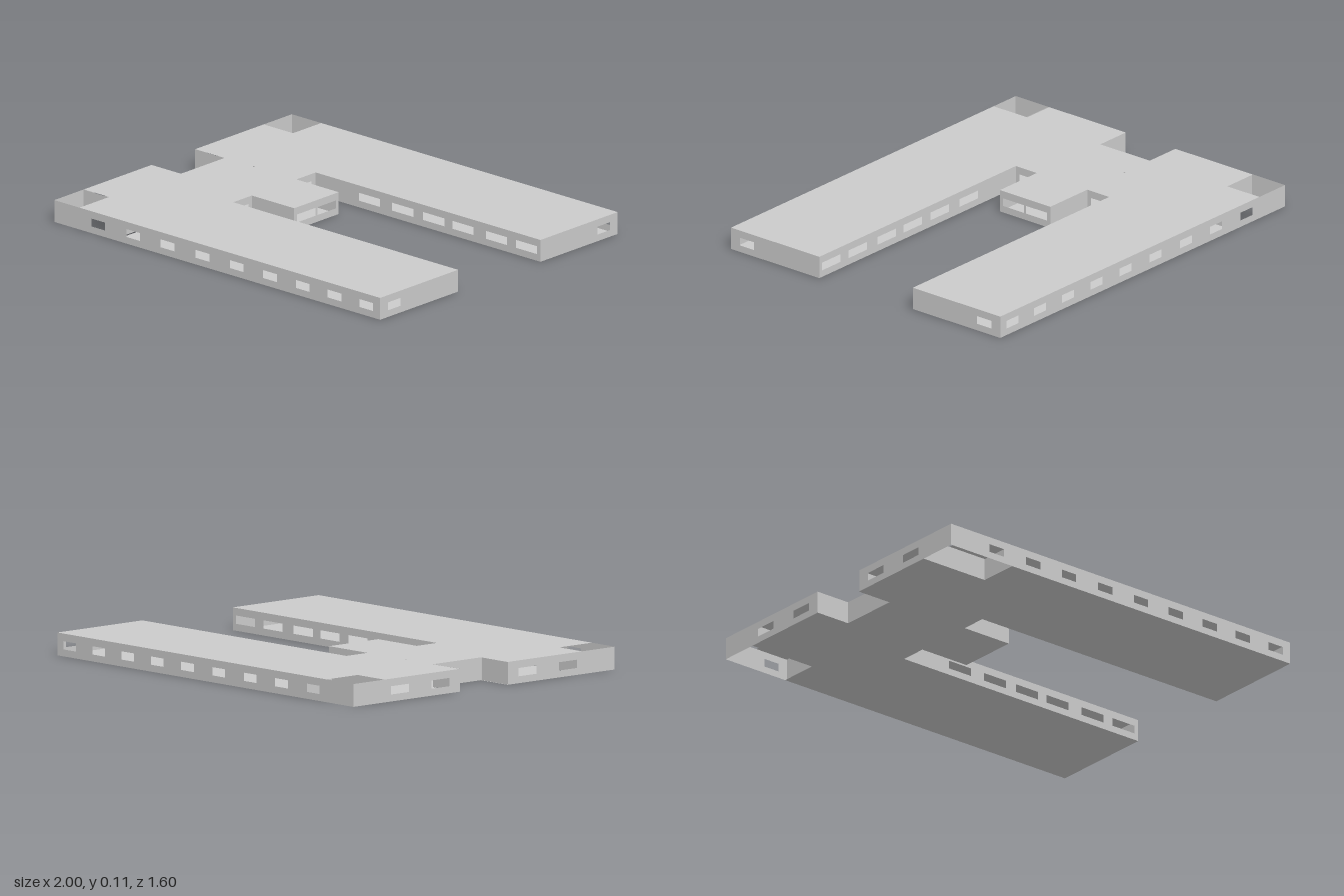
import * as THREE from 'three';

const H = 0.105;             // storey height
const SILL = 0.032, HEAD = 0.07;
const mat = new THREE.MeshStandardMaterial({ color: 0xcccccc, side: THREE.DoubleSide, flatShading: true });

function polygon(points) {
  return new THREE.Shape(points.map(([a, b]) => new THREE.Vector2(a, b)));
}

function rectangle(a0, b0, a1, b1) {
  return [[a0, b0], [a1, b0], [a1, b1], [a0, b1]];
}

export function createModel() {
  const model = new THREE.Group();

  function add(geometry, name) {
    const mesh = new THREE.Mesh(geometry, mat);
    mesh.name = name;
    model.add(mesh);
    return mesh;
  }

  // Thin upright wall between two plan points; windows are [centre along wall axis, width]
  function wall(name, [x0, z0], [x1, z1], windows = []) {
    const length = Math.hypot(x1 - x0, z1 - z0);
    const alongX = Math.abs(x1 - x0) > Math.abs(z1 - z0);
    const shape = polygon(rectangle(0, 0, length, H));
    for (const [centre, width] of windows) {
      const s = Math.abs(centre - (alongX ? x0 : z0));
      shape.holes.push(polygon(rectangle(s - width / 2, SILL, s + width / 2, HEAD)));
    }
    const mesh = add(new THREE.ShapeGeometry(shape), name);
    mesh.position.set(x0, 0, z0);
    mesh.rotation.y = -Math.atan2(z1 - z0, x1 - x0);
  }

  // Plan: two wings, a slot with a central bay, and a notch in the end wall.
  // The corner stairwells are left out of the slab by the given depths.
  function slab(name, y, backEdge, frontEdge) {
    const plan = [
      [backEdge, -0.8], [1, -0.8], [1, -0.28], [-0.38, -0.28], [-0.38, -0.15],
      [-0.12, -0.15], [-0.12, 0.15], [-0.38, 0.15], [-0.38, 0.275], [1, 0.275],
      [1, 0.8], [frontEdge, 0.8], [frontEdge, 0.6], [-1, 0.6], [-1, 0.145],
      [-0.82, 0.145], [-0.82, -0.15], [-1, -0.15], [-1, -0.61], [backEdge, -0.61],
    ];
    const geometry = new THREE.ShapeGeometry(polygon(plan.map(([x, z]) => [x, -z])));
    geometry.rotateX(-Math.PI / 2);
    add(geometry, name).position.y = y;
  }
  slab('roof', H, -0.82, -0.845);
  slab('floor', 0, -0.65, -0.63);

  // Long outer walls and the walls facing the slot
  const outer = [-0.73, -0.515, -0.305, -0.09, 0.12, 0.325, 0.525, 0.72, 0.915].map(x => [x, 0.085]);
  const inner = [-0.05, 0.155, 0.345, 0.525, 0.73, 0.915].map(x => [x, 0.13]);
  wall('frontWall', [-1, 0.8], [1, 0.8], outer);
  wall('backWall', [-1, -0.8], [1, -0.8], outer);
  wall('frontSlotWall', [-0.38, 0.275], [1, 0.275], inner);
  wall('backSlotWall', [-0.38, -0.28], [1, -0.28], inner);

  // Walls mirrored on the front and back halves
  for (const s of [1, -1]) {
    const side = s > 0 ? 'front' : 'back';
    const slotZ = s > 0 ? 0.275 : -0.28;
    wall(side + 'WingEnd', [1, slotZ], [1, 0.8 * s], [[0.705 * s, 0.085]]);
    wall(side + 'SlotEnd', [-0.38, 0.15 * s], [-0.38, slotZ], [[0.212 * s, 0.08]]);
    wall(side + 'BaySide', [-0.38, 0.15 * s], [-0.12, 0.15 * s]);
    wall(side + 'EndWall', [-1, 0.148 * s], [-1, 0.8 * s], [[0.265 * s, 0.11], [0.515 * s, 0.11]]);
    wall(side + 'NotchSide', [-1, 0.148 * s], [-0.82, 0.148 * s]);
    // Stairwell enclosure
    wall(side + 'StairwellSide', [-1, 0.605 * s], [-0.64, 0.605 * s]);
    wall(side + 'StairwellEnd', [-0.64, 0.605 * s], [-0.64, 0.8 * s]);
  }
  wall('bayEnd', [-0.12, -0.15], [-0.12, 0.15], [[-0.068, 0.125], [0.07, 0.125]]);
  wall('notchWall', [-0.82, -0.15], [-0.82, 0.145]);

  // Small roof stud
  add(new THREE.BoxGeometry(0.006, 0.006, 0.006), 'roofStud').position.set(-0.64, H + 0.001, -0.15);

  return model;
}
